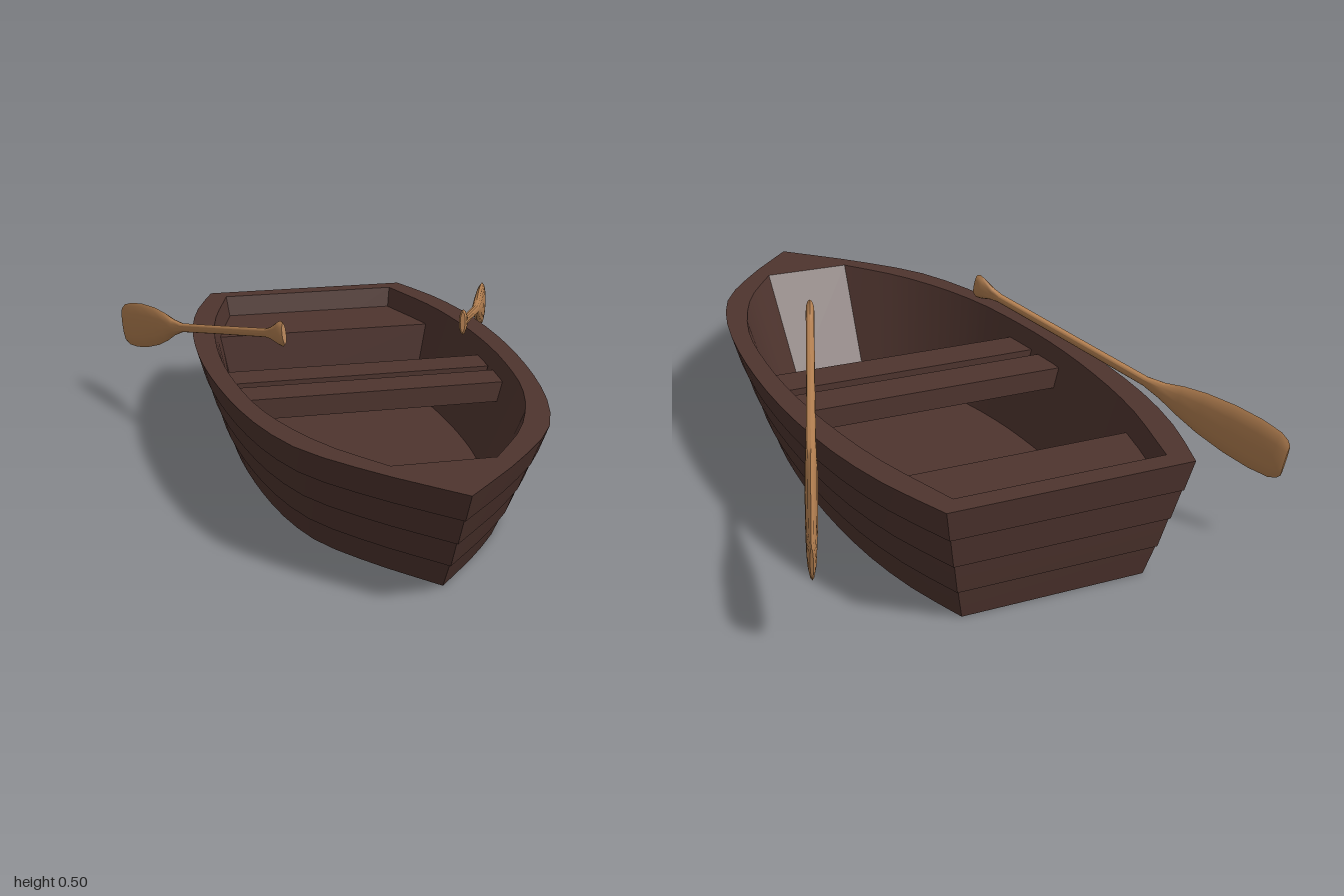
import * as THREE from 'three';
import { toCreasedNormals } from 'three/addons/utils/BufferGeometryUtils.js';

const HEIGHT = 0.33;
const FLOOR = 0.03;
const STEPS = 20;

// Half outlines as [x, z], from the stern corner to the bow
const RIM = [[0.335, -1], [0.405, -0.8], [0.447, -0.6], [0.466, -0.4], [0.47, -0.2], [0.46, 0],
  [0.438, 0.2], [0.4, 0.4], [0.33, 0.6], [0.185, 0.8], [0, 1]];
const INNER_RIM = [[0.29, -0.94], [0.365, -0.66], [0.4, -0.4], [0.41, -0.15], [0.4, 0.05],
  [0.375, 0.25], [0.325, 0.43], [0.25, 0.6], [0.135, 0.77]];
const FLOOR_LINE = [[0.25, -0.88], [0.305, -0.65], [0.33, -0.4], [0.335, -0.2], [0.325, 0],
  [0.29, 0.2], [0.215, 0.4], [0.115, 0.57]];

function halfLine(points) {
  const curve = new THREE.CatmullRomCurve3(points.map(([x, z]) => new THREE.Vector3(x, 0, z)));
  return curve.getSpacedPoints(STEPS);
}

const atHeight = (line, y) => line.map((p) => new THREE.Vector3(p.x, y, p.z));
const mirrored = (line) => line.map((p) => new THREE.Vector3(-p.x, p.y, p.z));
const ring = (line) => [...line, ...mirrored(line).reverse()];

// Joins two rows of points with triangles, leaving out empty ones
function addBand(out, a, b, closed) {
  const n = a.length;
  const tri = new THREE.Triangle();
  for (let i = 0; i < (closed ? n : n - 1); i++) {
    const j = (i + 1) % n;
    for (const [p, q, r] of [[a[i], b[i], a[j]], [a[j], b[i], b[j]]]) {
      if (tri.set(p, q, r).getArea() > 1e-8) out.push(p, q, r);
    }
  }
}

function hullGeometry() {
  const top = halfLine(RIM);
  const outline = (t, y) => top.map((p) => new THREE.Vector3(
    p.x * (0.76 + 0.24 * t), y, p.z * (0.85 + 0.15 * t) - 0.075 * (1 - t)));

  // Four overlapping planks, each standing out a little over the one below
  const lines = [];
  for (let k = 0; k < 4; k++) {
    lines.push(outline(k / 4 + (k ? 0.04 : 0), (HEIGHT * k) / 4));
    lines.push(outline((k + 1) / 4, (HEIGHT * (k + 1)) / 4));
  }
  // Flat gunwale, inner wall and floor
  lines.push(atHeight(halfLine(INNER_RIM), HEIGHT));
  lines.push(atHeight(halfLine(FLOOR_LINE), FLOOR));

  const tris = [];
  for (let i = 0; i < lines.length - 1; i++) addBand(tris, ring(lines[i]), ring(lines[i + 1]), true);
  const floor = lines[lines.length - 1];
  addBand(tris, floor, mirrored(floor), false);
  addBand(tris, mirrored(lines[0]), lines[0], false);
  return toCreasedNormals(new THREE.BufferGeometry().setFromPoints(tris), 0.4);
}

// Block with sloping ends: each level is { y, back: [x, z], front: [x, z] }
function taperedBlock(upper, lower) {
  const geometry = new THREE.BoxGeometry(2, 2, 2);
  const pos = geometry.attributes.position;
  for (let i = 0; i < pos.count; i++) {
    const level = pos.getY(i) > 0 ? upper : lower;
    const [x, z] = pos.getZ(i) > 0 ? level.front : level.back;
    pos.setXYZ(i, Math.sign(pos.getX(i)) * x, level.y, z);
  }
  geometry.computeVertexNormals();
  return geometry;
}

// Oar cross-sections: [distance from grip end, half thickness, half height]
const OAR = [[0, 0.007, 0.03], [0.012, 0.012, 0.037], [0.03, 0.013, 0.033], [0.07, 0.012, 0.018],
  [0.1, 0.012, 0.013], [0.4, 0.012, 0.013], [0.64, 0.013, 0.014], [0.7, 0.015, 0.026],
  [0.76, 0.016, 0.046], [0.83, 0.016, 0.062], [0.92, 0.015, 0.073], [1.0, 0.014, 0.075],
  [1.06, 0.012, 0.069], [1.083, 0.009, 0.058], [1.093, 0.004, 0.045]];

function oarGeometry() {
  const rows = OAR.length - 1;
  const geometry = new THREE.CylinderGeometry(1, 1, 1, 12, rows);
  const pos = geometry.attributes.position;
  for (let i = 0; i < pos.count; i++) {
    const [s, w, h] = OAR[Math.round((0.5 - pos.getY(i)) * rows)];
    pos.setXYZ(i, pos.getX(i) * w, -s, pos.getZ(i) * h);
  }
  return toCreasedNormals(geometry, 0.9);
}

// Rests the oar across the gunwale with its blade upright
function placeOar(oar, side) {
  const grip = new THREE.Vector3(side * 0.262, 0.468, 0.045);
  const tip = new THREE.Vector3(side * 0.64, 0.253, -0.945);
  const yAxis = grip.clone().sub(tip).normalize();
  const xAxis = new THREE.Vector3().crossVectors(yAxis, new THREE.Vector3(0, 1, 0)).normalize();
  const zAxis = new THREE.Vector3().crossVectors(xAxis, yAxis);
  oar.quaternion.setFromRotationMatrix(new THREE.Matrix4().makeBasis(xAxis, yAxis, zAxis));
  oar.position.copy(grip);
}

export function createModel() {
  const darkWood = new THREE.MeshStandardMaterial({ color: 0x4e342e });
  darkWood.name = 'dark wood';
  const lightWood = new THREE.MeshStandardMaterial({ color: 0xb07d4f });
  lightWood.name = 'light wood';

  const boat = new THREE.Group();
  boat.name = 'rowingBoat';
  const add = (name, geometry, material) => {
    const mesh = new THREE.Mesh(geometry, material);
    mesh.name = name;
    boat.add(mesh);
    return mesh;
  };

  add('hull', hullGeometry(), darkWood);

  // Solid seat filling the stern
  add('sternSeat', taperedBlock(
    { y: 0.265, back: [0.28, -0.928], front: [0.354, -0.667] },
    { y: FLOOR, back: [0.25, -0.88], front: [0.305, -0.652] }), darkWood);

  // Two planks side by side across the middle
  for (const [name, z] of [['rearBenchPlank', -0.23], ['frontBenchPlank', -0.07]]) {
    add(name, taperedBlock(
      { y: 0.28, back: [0.4, z], front: [0.393, z + 0.12] },
      { y: 0.22, back: [0.385, z], front: [0.378, z + 0.12] }), darkWood);
  }

  const oar = oarGeometry();
  placeOar(add('leftOar', oar, lightWood), 1);
  placeOar(add('rightOar', oar, lightWood), -1);
  return boat;
}
